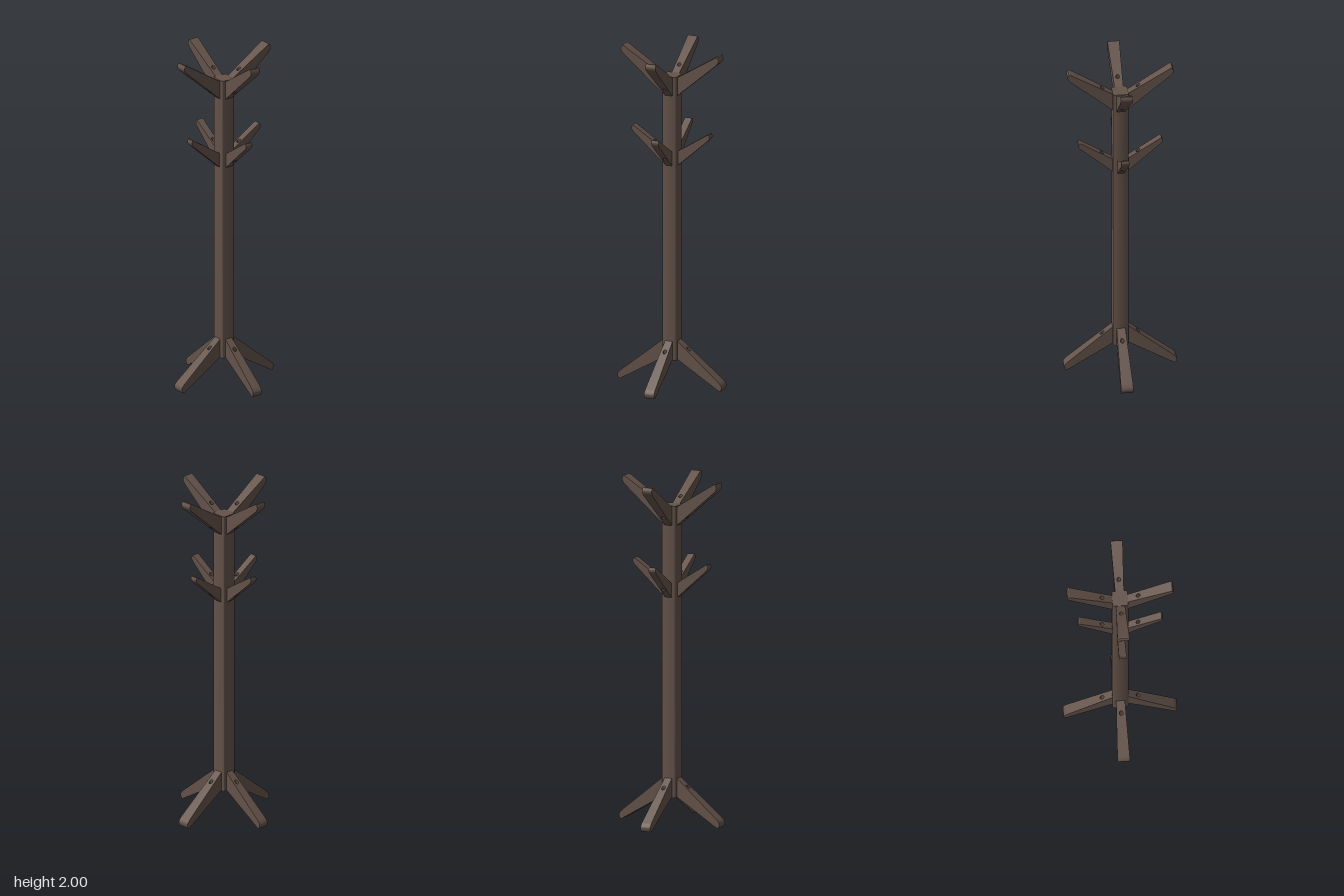
import * as THREE from 'three';
import { mergeGeometries, toCreasedNormals } from 'three/addons/utils/BufferGeometryUtils.js';

const wood = new THREE.MeshStandardMaterial({ color: 0x64534a });
const ROOT = 0.04, BEND = 0.3, REACH = 0.325; // leg profile: root, start of rounded tip, end
const HOLE_AT = 0.103, HOLE_R = 0.011;

// Move every vertex of a geometry by a rule
function remap(geometry, rule) {
  const p = geometry.attributes.position;
  for (let i = 0; i < p.count; i++) p.setXYZ(i, ...rule(p.getX(i), p.getY(i), p.getZ(i)));
  return geometry;
}

// Tapered arm pointing along +x; the basic leg profile is stretched to `reach`,
// and its heights become base + scale * y (a negative scale turns it upward)
function armGeometry({ reach, base, scale, rootHalf, tipHalf }) {
  const mx = (x) => ROOT + (x - ROOT) * (reach - ROOT) / (REACH - ROOT);
  const my = (y) => base + scale * y;
  const half = (x) => THREE.MathUtils.mapLinear(x, ROOT, reach, rootHalf, tipHalf);
  const bend = mx(BEND);

  // straight part: plan outline with a vertical bolt hole, raised between two sloping planes
  const plan = new THREE.Shape([
    new THREE.Vector2(ROOT, -half(ROOT)), new THREE.Vector2(bend, -half(bend)),
    new THREE.Vector2(bend, half(bend)), new THREE.Vector2(ROOT, half(ROOT)),
  ]);
  plan.holes.push(new THREE.Path().absarc(HOLE_AT, 0, HOLE_R, 0, Math.PI * 2, true));
  const straight = new THREE.ExtrudeGeometry(plan, { depth: 1, bevelEnabled: false, curveSegments: 16 });
  remap(straight, (x, y, z) => {
    const a = my(THREE.MathUtils.mapLinear(x, ROOT, bend, 0.161, 0.007));
    const b = my(THREE.MathUtils.mapLinear(x, ROOT, bend, 0.272, 0.058));
    return [x, THREE.MathUtils.lerp(Math.min(a, b), Math.max(a, b), z), -y];
  });

  // rounded tip: side outline extruded across the width
  const side = new THREE.Shape();
  side.moveTo(bend, my(0.007));
  side.quadraticCurveTo(mx(0.312), my(0), mx(0.317), my(0.003));
  side.lineTo(mx(0.324), my(0.018));
  side.quadraticCurveTo(mx(0.329), my(0.034), bend, my(0.058));
  side.closePath();
  const tip = new THREE.ExtrudeGeometry(side, { depth: 1, bevelEnabled: false, curveSegments: 8 });
  remap(tip, (x, y, z) => [x, y, (z - 0.5) * 2 * half(x)]);

  const merged = mergeGeometries([straight, tip]);
  merged.deleteAttribute('uv');
  return toCreasedNormals(merged, 0.6);
}

// Square post with rounded vertical edges
function postGeometry(h, r, y0, y1) {
  const s = new THREE.Shape();
  [[1, 1], [-1, 1], [-1, -1], [1, -1]].forEach(([sx, sy], i) =>
    s.absarc(sx * (h - r), sy * (h - r), r, i * Math.PI / 2, (i + 1) * Math.PI / 2, false));
  const g = new THREE.ExtrudeGeometry(s, { depth: y1 - y0, bevelEnabled: false, curveSegments: 6 });
  return toCreasedNormals(g.rotateX(-Math.PI / 2).translate(0, y0, 0), 0.6);
}

export function createModel() {
  const model = new THREE.Group();
  model.name = 'coatStand';

  const post = new THREE.Mesh(postGeometry(0.045, 0.012, 0.155, 1.85), wood);
  post.name = 'post';
  model.add(post);

  // three tiers of four; widths are [root, tip] for the side pair and the front/back pair
  const tiers = [
    { name: 'leg', reach: 0.325, base: 0, scale: 1, widths: [[0.025, 0.036], [0.023, 0.031]] },
    { name: 'middleHook', reach: 0.243, base: 1.525, scale: -0.777, widths: [[0.02, 0.022], [0.02, 0.022]] },
    { name: 'topHook', reach: 0.305, base: 2, scale: -0.985, widths: [[0.025, 0.035], [0.023, 0.031]] },
  ];
  const sides = ['Left', 'Back', 'Right', 'Front'];
  for (const { name, widths, ...profile } of tiers) {
    const pair = widths.map(([rootHalf, tipHalf]) => armGeometry({ ...profile, rootHalf, tipHalf }));
    sides.forEach((sideName, i) => {
      const arm = new THREE.Mesh(pair[i % 2], wood);
      arm.name = name + sideName;
      arm.rotation.y = i * Math.PI / 2;
      model.add(arm);
    });
  }
  return model;
}
